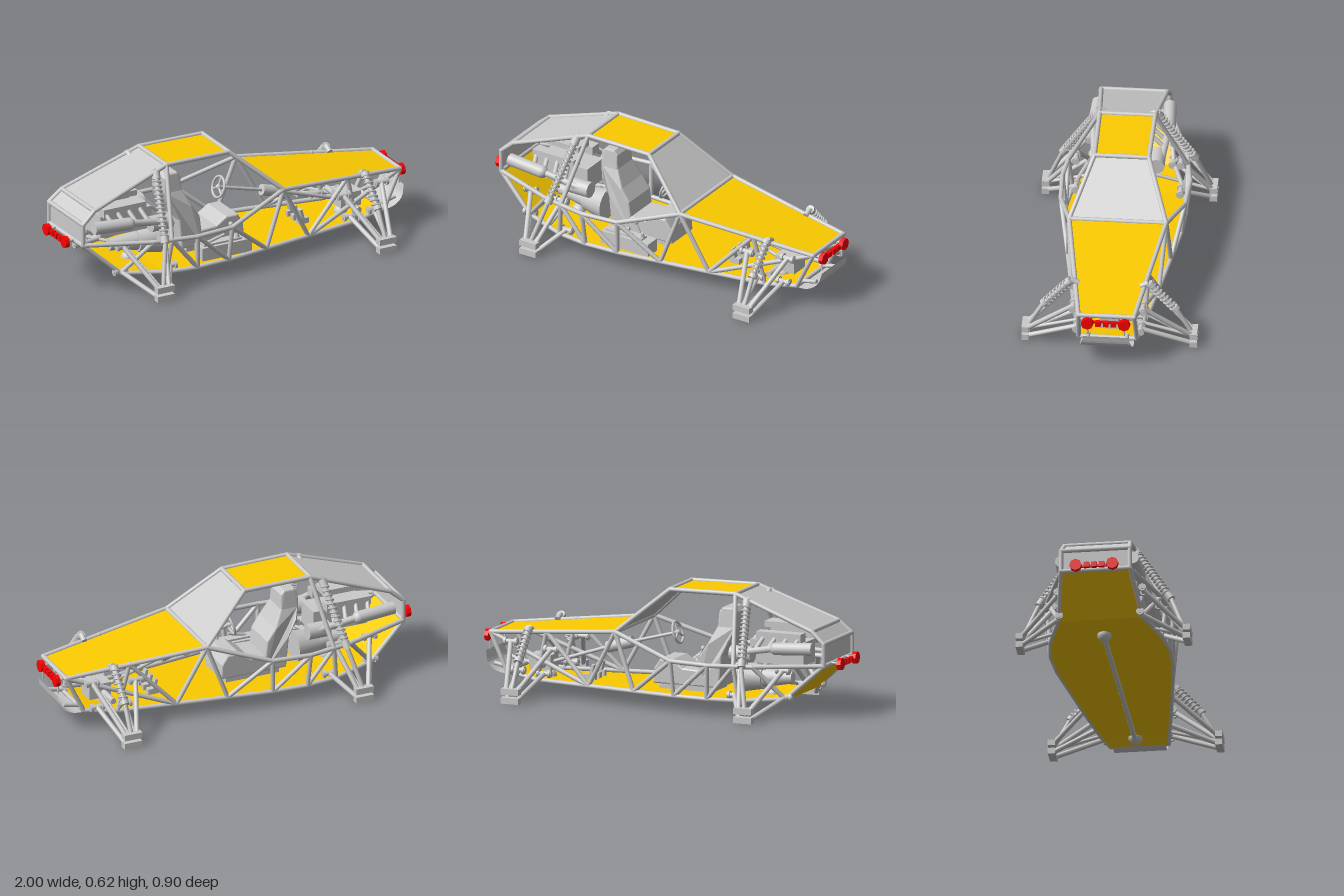
import * as THREE from 'three';

const grey = new THREE.MeshStandardMaterial({ color: 0xcccccc, side: THREE.DoubleSide });
const yellow = new THREE.MeshStandardMaterial({ color: 0xfccb00, side: THREE.DoubleSide });
const red = new THREE.MeshStandardMaterial({ color: 0xff0000, flatShading: true });
const V = (a) => new THREE.Vector3(...a);
const flip = (p) => [p[0], p[1], -p[2]];

export function createModel() {
  const root = new THREE.Group();
  const group = (name, parent = root) => {
    const g = new THREE.Group();
    g.name = name;
    parent.add(g);
    return g;
  };
  const add = (parent, name, geo, mat = grey, pos = [0, 0, 0]) => {
    const m = new THREE.Mesh(geo, mat);
    m.name = name;
    m.position.set(...pos);
    parent.add(m);
    return m;
  };
  // straight round bar between two points
  const bar = (parent, name, a, b, r = 0.012, r2 = r, sides = 10) => {
    const p = V(a), q = V(b);
    const m = add(parent, name, new THREE.CylinderGeometry(r2, r, p.distanceTo(q), sides));
    m.position.copy(p).add(q).multiplyScalar(0.5);
    m.quaternion.setFromUnitVectors(new THREE.Vector3(0, 1, 0), q.sub(p).normalize());
    return m;
  };
  const box = (parent, name, size, pos, mat = grey) => add(parent, name, new THREE.BoxGeometry(...size), mat, pos);
  // sheet spanning left to right through a row of half-sections
  const sheet = (parent, name, rows, mat) => {
    const pos = [];
    for (let i = 0; i < rows.length - 1; i++) {
      const a = rows[i], b = rows[i + 1];
      pos.push(...a, ...flip(a), ...flip(b), ...a, ...flip(b), ...b);
    }
    const g = new THREE.BufferGeometry();
    g.setAttribute('position', new THREE.Float32BufferAttribute(pos, 3));
    g.computeVertexNormals();
    return add(parent, name, g, mat);
  };

  // frame nodes on the +z side
  const N = {
    roofF: [-0.05, 0.608, 0.14], roofB: [-0.42, 0.613, 0.143], cowl: [0.21, 0.385, 0.25],
    nose: [0.955, 0.31, 0.143], tailT: [-0.86, 0.455, 0.17], tailU: [-0.93, 0.395, 0.178], tailL: [-0.93, 0.28, 0.178],
    midR: [-0.58, 0.27, 0.295], midC: [-0.34, 0.265, 0.33], midF: [-0.13, 0.27, 0.32], hoop: [-0.48, 0.268, 0.31],
    f0: [0.86, 0.112, 0.15], f1: [0.68, 0.085, 0.175], f2: [0.37, 0.085, 0.225], f3: [0.1, 0.085, 0.265],
    f4: [-0.14, 0.085, 0.3], f5: [-0.33, 0.085, 0.31], f6: [-0.5, 0.085, 0.288], f7: [-0.73, 0.1, 0.215],
    hood: [0.62, 0.345, 0.19],
  };

  // tubular frame: chains run along each side, crossbars join the sides
  const frame = group('tubeFrame');
  const chains = [
    'nose cowl roofF roofB tailT tailU tailL midR hoop midC midF cowl',
    'nose f0 f1 f2 f3 f4 f5 f6 f7 tailL',
    'roofB hoop f6', 'cowl f3 midF f4', 'cowl f2', 'midC f4', 'midC f5', 'hoop f5', 'midR f7',
    'f2 hood f1', 'f2 nose',
  ];
  for (const c of chains) {
    const k = c.split(' ');
    for (let i = 0; i < k.length - 1; i++) {
      for (const s of [(p) => p, flip]) {
        bar(frame, 'sideTube', s(N[k[i]]), s(N[k[i + 1]]));
        add(frame, 'weldedJoint', new THREE.SphereGeometry(0.0125, 8, 6), grey, s(N[k[i]]));
      }
    }
  }
  for (const k of ['roofF', 'roofB', 'cowl', 'nose', 'tailT', 'tailU', 'tailL', 'f0']) {
    bar(frame, 'crossTube', N[k], flip(N[k]));
  }

  // body panels
  const body = group('bodyPanels');
  sheet(body, 'hoodPanel', [N.cowl, N.nose], yellow);
  sheet(body, 'roofPanel', [N.roofF, N.roofB], yellow);
  sheet(body, 'windshield', [N.cowl, N.roofF], grey);
  sheet(body, 'rearDeck', [N.roofB, N.tailT, N.tailU, N.tailL], grey);
  sheet(body, 'floorPan', ['f0', 'f1', 'f2', 'f3', 'f4', 'f5', 'f6', 'f7', 'tailL'].map((k) => {
    const [x, y, z] = N[k];
    return [x, y - 0.01, z];
  }), yellow);
  const skid = new THREE.CatmullRomCurve3([[0.83, 0.095, 0.137], [0.92, 0.105, 0.137], [0.975, 0.145, 0.13], [0.993, 0.205, 0.115]].map(V));
  const skidRows = skid.getPoints(12).map((p) => p.toArray());
  sheet(body, 'skidPlate', skidRows, grey);
  for (const z of [-0.1, 0.1]) bar(body, 'skidBrace', [0.84, 0.115, z], [0.95, 0.14, z], 0.011);

  // lamp clusters at nose and tail
  for (const end of [1, -1]) {
    const lamps = group(end > 0 ? 'frontLamps' : 'rearLamps');
    for (const z of [-0.095, 0.095]) {
      bar(lamps, 'roundLamp', [end * 0.977, 0.283, z], [end, 0.283, z], 0.032, 0.032, 8).material = red;
      if (end > 0) bar(lamps, 'lampPost', [0.978, 0.26, z], [0.978, 0.21, z], 0.005);
      bar(lamps, 'lampBracket', [end * 0.93, 0.285, z], [end * 0.98, 0.285, z], 0.006);
    }
    for (const z of [-0.039, 0, 0.039]) box(lamps, 'squareLamp', [0.02, 0.028, 0.028], [end * 0.986, 0.283, z], red);
    box(lamps, 'lampRail', [0.01, 0.012, 0.19], [end * 0.972, 0.283, 0], red);
  }

  // coil-over shock: damper, rod, caps and helical spring
  const shock = (parent, a, b, r) => {
    const g = group('shockAbsorber', parent);
    const L = V(a).distanceTo(V(b));
    const pts = [];
    const turns = Math.round(L / 0.03);
    for (let i = 0; i <= turns * 10; i++) {
      const t = i * Math.PI / 5;
      pts.push(new THREE.Vector3(r * Math.cos(t), (i / (turns * 10) - 0.5) * L * 0.8, r * Math.sin(t)));
    }
    add(g, 'spring', new THREE.TubeGeometry(new THREE.CatmullRomCurve3(pts), turns * 12, 0.006, 5));
    add(g, 'damper', new THREE.CylinderGeometry(r * 0.8, r * 0.5, L, 10));
    for (const s of [-1, 1]) add(g, 'springCap', new THREE.CylinderGeometry(r * 1.15, r * 1.15, L * 0.1, 12), grey, [0, s * L * 0.44, 0]);
    g.position.copy(V(a)).add(V(b)).multiplyScalar(0.5);
    g.quaternion.setFromUnitVectors(new THREE.Vector3(0, 1, 0), V(b).sub(V(a)).normalize());
  };

  // suspension corners
  const corners = [
    { name: 'front', x: 0.714, r: 0.02, up: [[0.59, 0.255, 0.2], [0.825, 0.275, 0.18]], low: [[0.64, 0.12, 0.175], [0.79, 0.125, 0.165]],
      sh: [[0.714, 0.2, 0.345], [0.714, 0.36, 0.2]] },
    { name: 'rear', x: -0.592, r: 0.019, up: [[-0.72, 0.25, 0.22], [-0.5, 0.27, 0.27]], low: [[-0.73, 0.11, 0.21], [-0.47, 0.11, 0.27]],
      sh: [[-0.54, 0.27, 0.345], [-0.485, 0.59, 0.145]] },
  ];
  for (const c of corners) {
    for (const [side, s] of [['Right', (p) => p], ['Left', flip]]) {
      const g = group(c.name + side + 'Suspension');
      for (const [arms, y] of [[c.up, 0.065], [c.low, 0.018]]) {
        box(g, 'hubBlock', [0.1, 0.032, 0.038], s([c.x, y, 0.433]));
        arms.forEach((p, i) => {
          bar(g, 'controlArm', s([c.x + (i ? 0.03 : -0.03), y, 0.425]), s(p), 0.013);
          bar(g, 'bushing', s([p[0] - 0.04, p[1], p[2]]), s([p[0] + 0.04, p[1], p[2]]), 0.013);
          for (const d of [-0.03, 0.03]) bar(g, 'bushingCollar', s([p[0] + d - 0.007, p[1], p[2]]), s([p[0] + d + 0.007, p[1], p[2]]), 0.021);
        });
      }
      bar(g, 'shockRod', s([c.x, 0.07, 0.42]), s(c.sh[0]), 0.012);
      shock(g, s(c.sh[0]), s(c.sh[1]), c.r);
      bar(g, 'shockMount', s(c.sh[1]), s([c.sh[1][0], c.sh[1][1] - 0.02, c.sh[1][2] - 0.04]), 0.015);
      bar(g, 'axleShaft', s([c.x, 0.045, 0.42]), s([c.x, 0.14, 0.06]), 0.009);
    }
    add(root, c.name + 'Differential', new THREE.SphereGeometry(0.037, 16, 12), grey, [c.x * 0.96, 0.076, 0]);
  }
  bar(root, 'driveShaft', [-0.57, 0.062, 0], [0.685, 0.062, 0], 0.013);

  // central seat, extruded from a side profile and narrowed toward the headrest
  const seat = group('seat');
  const back = new THREE.Shape([[-0.38, 0.495], [-0.365, 0.513], [-0.315, 0.513], [-0.3, 0.495], [-0.295, 0.42], [-0.25, 0.33],
    [-0.205, 0.265], [-0.195, 0.19], [-0.19, 0.11], [-0.3, 0.11], [-0.315, 0.27], [-0.36, 0.36], [-0.38, 0.42]].map((p) => new THREE.Vector2(...p)));
  const cushion = new THREE.Shape([[-0.24, 0.11], [-0.2, 0.18], [-0.1, 0.185], [-0.04, 0.225], [0.02, 0.225], [0.05, 0.18],
    [0.055, 0.11]].map((p) => new THREE.Vector2(...p)));
  for (const [name, shape] of [['seatBack', back], ['seatCushion', cushion]]) {
    const geo = new THREE.ExtrudeGeometry(shape, { depth: 0.18, bevelSize: 0.008, bevelThickness: 0.012, bevelSegments: 2 });
    geo.translate(0, 0, -0.09);
    const p = geo.attributes.position;
    for (let i = 0; i < p.count; i++) p.setZ(i, p.getZ(i) * (1 - 0.35 * THREE.MathUtils.smoothstep(p.getY(i), 0.34, 0.45)));
    geo.computeVertexNormals();
    add(seat, name, geo);
  }
  box(seat, 'seatBase', [0.3, 0.03, 0.18], [-0.12, 0.092, 0]);

  // shifter console
  const shifter = group('shifterConsole');
  box(shifter, 'consoleBox', [0.29, 0.07, 0.085], [-0.125, 0.12, 0.215]);
  box(shifter, 'consoleTop', [0.22, 0.01, 0.05], [-0.14, 0.16, 0.215]);
  add(shifter, 'shifterBoot', new THREE.CylinderGeometry(0.012, 0.024, 0.03, 12), grey, [-0.05, 0.17, 0.215]);
  bar(shifter, 'shiftLever', [-0.05, 0.17, 0.215], [-0.08, 0.24, 0.215], 0.006);
  add(shifter, 'shiftKnob', new THREE.SphereGeometry(0.013, 10, 8), grey, [-0.08, 0.24, 0.215]);
  bar(shifter, 'handBrake', [-0.22, 0.165, 0.215], [-0.12, 0.19, 0.215], 0.008);

  // steering wheel, column, rack and pedals
  const steer = group('steering');
  const wheel = group('steeringWheel', steer);
  add(wheel, 'rim', new THREE.TorusGeometry(0.056, 0.007, 8, 24));
  add(wheel, 'hub', new THREE.SphereGeometry(0.015, 10, 8));
  for (let i = 0; i < 3; i++) {
    const t = Math.PI / 2 + i * Math.PI * 2 / 3;
    bar(wheel, 'spoke', [0, 0, 0], [0.055 * Math.cos(t), 0.055 * Math.sin(t), 0], 0.006);
  }
  wheel.position.set(-0.033, 0.358, 0);
  wheel.lookAt(0.335, 0.24, 0);
  bar(steer, 'column', [-0.033, 0.358, 0], [0.24, 0.285, 0], 0.009);
  bar(steer, 'columnMotor', [0.22, 0.29, 0], [0.36, 0.25, 0], 0.03, 0.03, 16);
  bar(steer, 'lowerColumn', [0.36, 0.25, 0], [0.7, 0.14, 0], 0.01);
  bar(steer, 'rack', [0.7, 0.14, -0.17], [0.7, 0.14, 0.17], 0.016);
  box(steer, 'frontGearHousing', [0.12, 0.08, 0.1], [0.72, 0.15, 0]);
  for (const z of [-0.06, 0, 0.06]) {
    box(steer, 'pedalBase', [0.06, 0.03, 0.03], [0.43, 0.1, z]);
    box(steer, 'pedal', [0.015, 0.06, 0.03], [0.42, 0.135, z]).rotation.z = 0.25;
  }

  // engine bay
  const engine = group('engine');
  box(engine, 'engineBlock', [0.3, 0.12, 0.15], [-0.62, 0.31, 0]);
  box(engine, 'intakePlenum', [0.22, 0.03, 0.1], [-0.65, 0.45, 0]);
  bar(engine, 'gearboxBell', [-0.52, 0.16, 0], [-0.39, 0.16, 0], 0.06, 0.085, 16);
  bar(engine, 'gearboxTail', [-0.68, 0.17, 0], [-0.52, 0.16, 0], 0.03, 0.05, 16);
  for (const s of [-1, 1]) {
    box(engine, 'cylinderHead', [0.25, 0.045, 0.06], [-0.65, 0.4, s * 0.09]);
    for (let i = 0; i < 4; i++) bar(engine, 'headerPipe', [-0.76 + i * 0.065, 0.4, s * 0.1], [-0.74 + i * 0.065, 0.34, s * 0.17], 0.012);
    bar(engine, 'muffler', [-0.87, 0.365, s * 0.185], [-0.67, 0.355, s * 0.195], 0.033, 0.033, 16);
    add(engine, 'mufflerEnd', new THREE.SphereGeometry(0.033, 16, 10), grey, [-0.67, 0.355, s * 0.195]);
    bar(engine, 'exhaustPipe', [-0.66, 0.355, s * 0.195], [-0.43, 0.31, s * 0.17], 0.018);
    bar(engine, 'airTank', [-0.52, 0.305, s * 0.15], [-0.4, 0.305, s * 0.15], 0.042, 0.042, 16);
  }
  return root;
}
